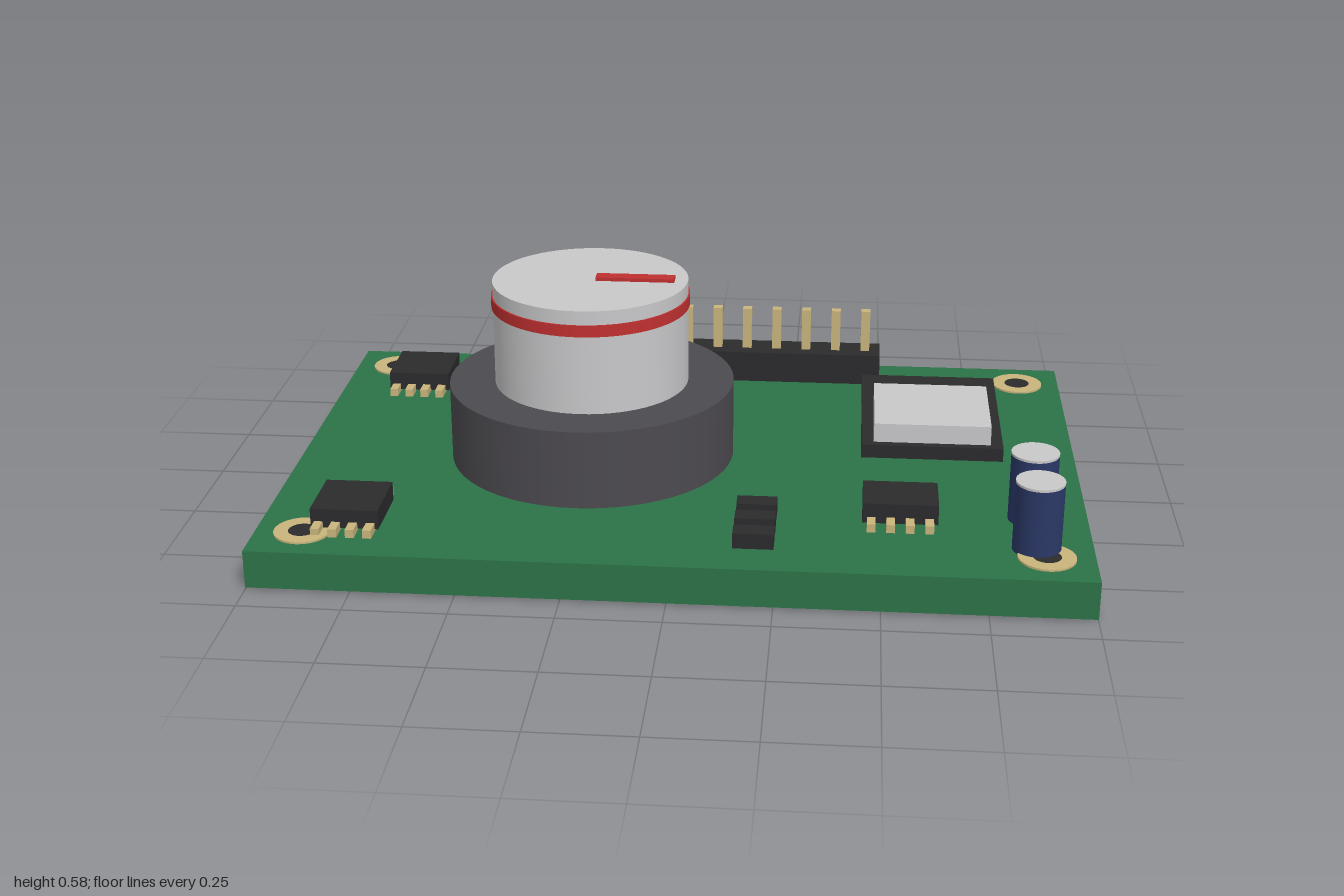
import * as THREE from 'three';

const mat = (name, color) => {
  const m = new THREE.MeshStandardMaterial({ color });
  m.name = name;
  return m;
};

export function createModel() {
  const green = mat('board green', 0x2c7247);
  const black = mat('component black', 0x2b2b2d);
  const grey = mat('base grey', 0x4c4a4f);
  const silver = mat('silver', 0xc8c8ca);
  const gold = mat('gold', 0xc8b47c);
  const red = mat('red', 0xc03030);
  const navy = mat('navy', 0x2a3866);

  const model = new THREE.Group();
  model.name = 'circuitBoard';
  const TOP = 0.1;

  const add = (parent, name, geometry, material, x, y, z) => {
    const mesh = new THREE.Mesh(geometry, material);
    mesh.name = name;
    mesh.position.set(x, y, z);
    parent.add(mesh);
    return mesh;
  };
  // Both helpers span y0 to y1
  const box = (parent, name, material, x, z, w, d, y0, y1) =>
    add(parent, name, new THREE.BoxGeometry(w, y1 - y0, d), material, x, (y0 + y1) / 2, z);
  const disc = (parent, name, material, x, z, r, y0, y1, seg = 48) =>
    add(parent, name, new THREE.CylinderGeometry(r, r, y1 - y0, seg), material, x, (y0 + y1) / 2, z);
  const group = (name) => {
    const g = new THREE.Group();
    g.name = name;
    model.add(g);
    return g;
  };

  box(model, 'board', green, 0, 0, 2, 1.332, 0.005, TOP);

  // Corner mounting holes: gold ring around a dark centre
  const ring = new THREE.Shape().absarc(0, 0, 0.069, 0, Math.PI * 2);
  ring.holes.push(new THREE.Path().absarc(0, 0, 0.034, 0, Math.PI * 2, true));
  const ringGeo = new THREE.ExtrudeGeometry(ring, { depth: 0.105, bevelEnabled: false, curveSegments: 24 });
  ringGeo.rotateX(-Math.PI / 2);
  for (const x of [-0.885, 0.885]) {
    for (const z of [-0.55, 0.55]) {
      const hole = group('mountingHole');
      add(hole, 'holeRing', ringGeo, gold, x, 0, z);
      disc(hole, 'holeCentre', black, x, z, 0.034, 0, 0.105, 24);
    }
  }

  // Rotary knob on a wide base
  const knob = group('knob');
  disc(knob, 'knobBase', grey, -0.25, 0, 0.366, TOP, 0.302, 64);
  disc(knob, 'knobBody', silver, -0.25, 0, 0.249, 0.302, 0.572, 64);
  disc(knob, 'knobBand', red, -0.25, 0, 0.253, 0.506, 0.536, 64);
  box(knob, 'knobPointer', red, -0.135, 0, 0.2, 0.036, 0.57, 0.581);

  // Ten-pin header
  const header = group('pinHeader');
  box(header, 'headerBody', black, 0.08, -0.568, 0.834, 0.1, TOP, 0.186);
  for (let i = 0; i < 10; i++) {
    box(header, 'headerPin', gold, -0.295 + i * 0.0833, -0.568, 0.025, 0.025, 0.18, 0.303);
  }

  // Shielded module
  const unit = group('shieldedModule');
  box(unit, 'moduleBase', black, 0.632, -0.252, 0.366, 0.498, TOP, 0.136);
  box(unit, 'moduleShield', silver, 0.632, -0.167, 0.302, 0.285, 0.136, 0.187);

  // Eight-legged chips: x, z, width, depth, full span over the legs
  for (const [x, z, w, d, span, top] of [
    [-0.786, -0.45, 0.165, 0.17, 0.255, 0.153],
    [-0.786, 0.448, 0.165, 0.17, 0.255, 0.153],
    [0.545, 0.334, 0.183, 0.135, 0.22, 0.156],
  ]) {
    const chip = group('chip');
    box(chip, 'chipBody', black, x, z, w, d, TOP + 0.005, top);
    for (let i = 0; i < 4; i++) {
      for (const s of [-1, 1]) {
        const len = (span - d) / 2 + 0.02;
        box(chip, 'chipLeg', gold, x + (i - 1.5) * w * 0.255, z + s * (span - len) / 2, 0.021, len, TOP, 0.121);
      }
    }
  }

  // Small surface-mount resistors
  for (const z of [0.367, 0.449, 0.532]) {
    box(model, 'resistor', black, 0.197, z, 0.098, 0.05, TOP, 0.139);
  }

  // Can capacitors with silver tops
  for (const z of [0.334, 0.5]) {
    const cap = group('capacitor');
    disc(cap, 'capacitorBody', navy, 0.864, z, 0.058, TOP, 0.271, 32);
    disc(cap, 'capacitorTop', silver, 0.864, z, 0.058, 0.271, 0.277, 32);
  }

  return model;
}
